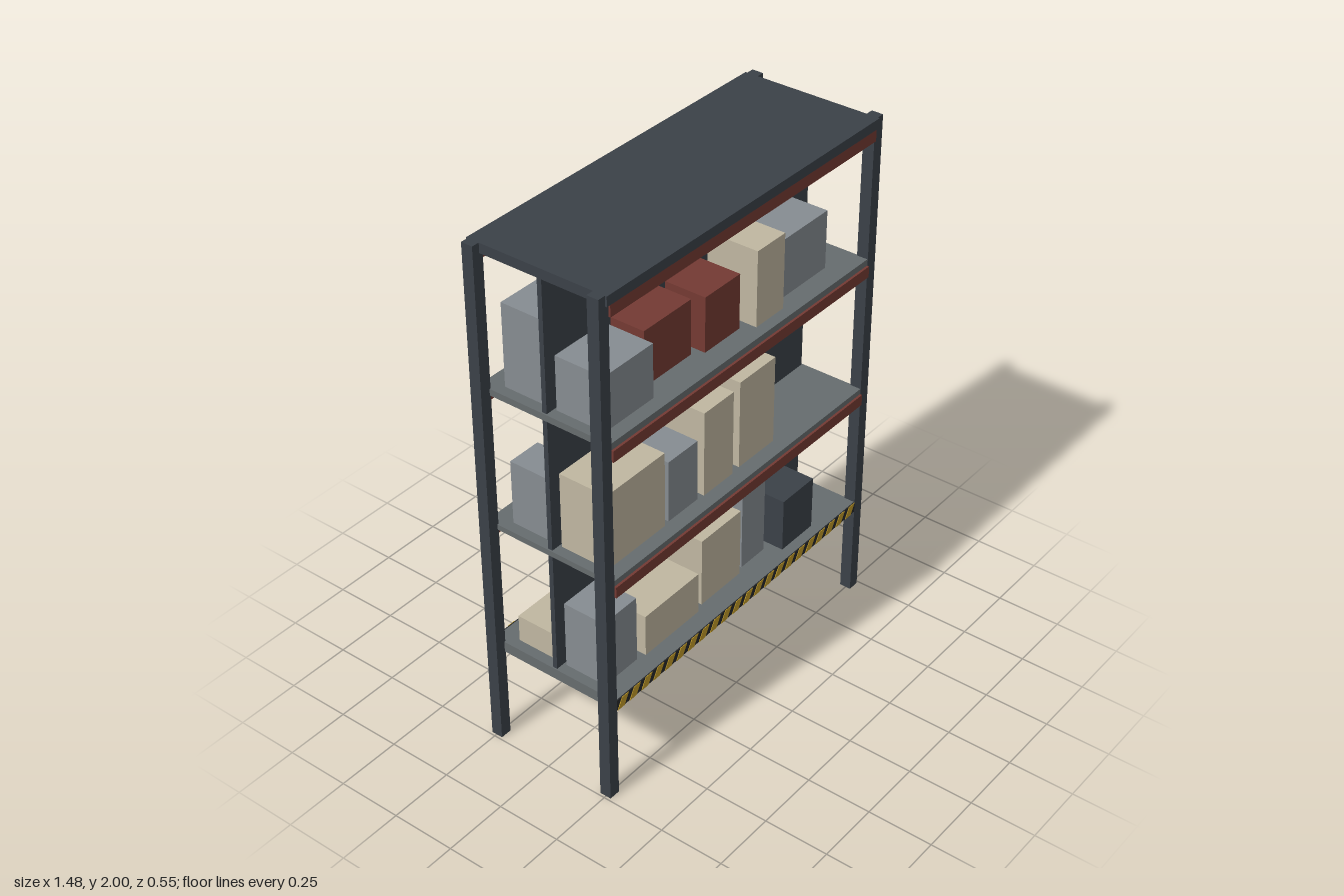
import * as THREE from 'three';

const mat = (name, color) => {
  const m = new THREE.MeshStandardMaterial({ color });
  m.name = name;
  return m;
};

export function createModel() {
  const rack = new THREE.Group();
  rack.name = 'storageRack';

  const dark = mat('dark steel', 0x3b4148);
  const red = mat('oxide red', 0x743a33);
  const grey = mat('box grey', 0x868c91);
  const beige = mat('cardboard beige', 0xc0b7a1);
  const deck = mat('shelf grey', 0x666c6e);
  const yellow = mat('hazard yellow', 0xc09a28);
  const black = mat('hazard black', 0x26282a);

  // Box given by its minimum and maximum on each axis
  const block = (name, m, x0, x1, y0, y1, z0, z1) => {
    const mesh = new THREE.Mesh(new THREE.BoxGeometry(x1 - x0, y1 - y0, z1 - z0), m);
    mesh.position.set((x0 + x1) / 2, (y0 + y1) / 2, (z0 + z1) / 2);
    mesh.name = name;
    rack.add(mesh);
    return mesh;
  };

  // Corner posts
  for (const sx of [-1, 1]) for (const sz of [-1, 1]) {
    block('cornerPost', dark, sx * 0.7175 - 0.0225, sx * 0.7175 + 0.0225, 0, 2,
      sz * 0.2475 - 0.0225, sz * 0.2475 + 0.0225);
  }

  // Roof, shelves and the central divider panel
  block('roof', dark, -0.71, 0.71, 1.963, 2, -0.277, 0.277);
  block('upperShelf', deck, -0.7, 0.7, 1.435, 1.46, -0.268, 0.268);
  block('middleShelf', deck, -0.7, 0.7, 0.898, 0.92, -0.268, 0.268);
  block('bottomShelf', deck, -0.7, 0.7, 0.37, 0.413, -0.266, 0.266);
  for (const [y0, y1] of [[0.413, 0.898], [0.92, 1.435], [1.46, 1.963]]) {
    block('dividerPanel', dark, -0.695, 0.695, y0, y1, -0.009, 0.009);
  }

  // Red beams along front and back
  for (const y of [0.855, 1.392, 1.92]) {
    block('frontBeam', red, -0.695, 0.695, y, y + 0.043, 0.25, 0.277);
    block('backBeam', red, -0.695, 0.695, y, y + 0.043, -0.277, -0.25);
  }

  // Hazard stripes on the long edges of the bottom shelf
  const count = 22, pitch = 1.39 / count, slant = 0.024;
  const stripe = new THREE.Shape([[0, 0], [0.035, 0], [0.035 + slant, 0.043], [slant, 0.043]]
    .map(([x, y]) => new THREE.Vector2(x, y)));
  const stripeGeo = new THREE.ExtrudeGeometry(stripe, { depth: 0.002, bevelEnabled: false });
  for (const side of [1, -1]) {
    const edge = new THREE.Group();
    edge.name = side > 0 ? 'frontHazardEdge' : 'backHazardEdge';
    const base = new THREE.Mesh(new THREE.BoxGeometry(1.39, 0.043, 0.004), black);
    base.name = 'hazardBase';
    base.position.set(0, 0.3915, 0.268);
    edge.add(base);
    for (let i = 0; i < count; i++) {
      const s = new THREE.Mesh(stripeGeo, yellow);
      s.name = 'hazardStripe';
      s.position.set(-0.695 + i * pitch + 0.002, 0.37, 0.2701);
      edge.add(s);
    }
    if (side < 0) edge.rotation.y = Math.PI;
    rack.add(edge);
  }

  // Stored boxes: material, x range, top height, inner and outer distance from the divider
  const store = (side, y, list) => {
    for (const [m, x0, x1, top, near, far] of list) {
      block('storedBox', m, x0, x1, y, top, side > 0 ? near : -far, side > 0 ? far : -near);
    }
  };
  // Front row
  store(1, 1.46, [
    [grey, -0.66, -0.42, 1.665, 0.02, 0.215],
    [red, -0.39, -0.15, 1.67, 0.02, 0.155],
    [red, -0.115, 0.07, 1.67, 0.02, 0.185],
    [beige, 0.11, 0.26, 1.75, 0.02, 0.225],
    [grey, 0.285, 0.56, 1.685, 0.03, 0.185],
  ]);
  store(1, 0.92, [
    [beige, -0.66, -0.365, 1.215, 0.02, 0.215],
    [grey, -0.34, -0.185, 1.16, 0.02, 0.21],
    [beige, -0.155, 0.005, 1.255, 0.02, 0.215],
    [beige, 0.047, 0.245, 1.267, 0.02, 0.21],
  ]);
  store(1, 0.413, [
    [grey, -0.66, -0.49, 0.68, 0.02, 0.19],
    [beige, -0.455, -0.163, 0.58, 0.02, 0.2],
    [beige, -0.125, 0.097, 0.69, 0.02, 0.185],
    [grey, 0.127, 0.26, 0.77, 0.02, 0.17],
    [dark, 0.3, 0.48, 0.627, 0.035, 0.225],
  ]);
  // Back row
  store(-1, 1.46, [
    [grey, 0.425, 0.628, 1.805, 0.02, 0.19],
    [dark, 0.145, 0.4, 1.705, 0.02, 0.207],
    [grey, -0.065, 0.128, 1.79, 0.02, 0.21],
    [beige, -0.35, -0.105, 1.655, 0.02, 0.2],
    [grey, -0.66, -0.375, 1.775, 0.02, 0.195],
  ]);
  store(-1, 0.92, [
    [beige, 0.335, 0.61, 1.135, 0.03, 0.19],
    [beige, 0.05, 0.315, 1.28, 0.03, 0.19],
    [red, -0.28, 0.02, 1.275, 0.03, 0.19],
    [beige, -0.49, -0.305, 1.25, 0.02, 0.19],
    [grey, -0.66, -0.525, 1.17, 0.02, 0.19],
  ]);
  store(-1, 0.413, [
    [red, -0.14, 0.09, 0.7, 0.035, 0.223],
    [beige, -0.43, -0.165, 0.56, 0.02, 0.2],
    [beige, -0.66, -0.455, 0.52, 0.02, 0.19],
  ]);

  return rack;
}
